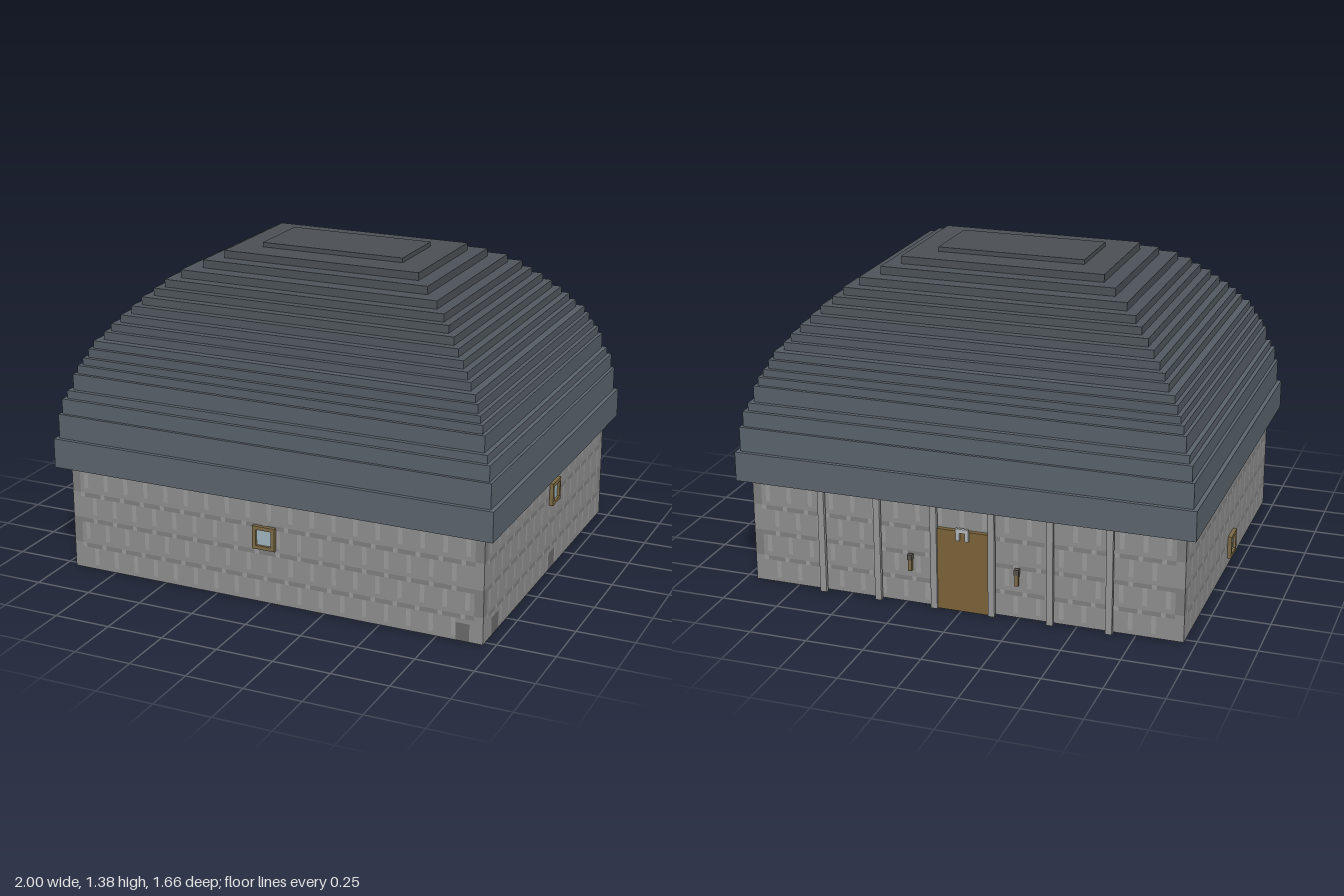
import * as THREE from 'three';
import { mergeGeometries } from 'three/addons/utils/BufferGeometryUtils.js';

const mat = (color) => new THREE.MeshStandardMaterial({ color, flatShading: true });
const M = {
  stone: mat(0x8e8e8e), course: mat(0x7e7e7e), joint: mat(0x9a9a9a), dark: mat(0x6a6a6a),
  frame: mat(0x7d6a45), glass: mat(0x9fb4bd), door: mat(0x7a6238), post: mat(0x969696),
  iron: mat(0x55524c), pale: mat(0xb4b8ba),
};
const X = 0.95, Z = 0.775, H = 0.47;

function box(name, material, w, h, d, x, y, z) {
  const m = new THREE.Mesh(new THREE.BoxGeometry(w, h, d), material);
  m.name = name;
  m.position.set(x, y, z);
  return m;
}

// A flat wall of small cells, sorted by stone tone; patches are dark stones at the base
function stoneWall(name, width, patches = []) {
  const nx = Math.round(width / 0.0195), ny = 24;
  const cw = width / nx, ch = H / ny;
  const cells = { stone: [], course: [], joint: [], dark: [] };
  for (let r = 0; r < ny; r++) {
    for (let c = 0; c < nx; c++) {
      const x = (c + 0.5) * cw - width / 2, y = (r + 0.5) * ch;
      const row = Math.floor(r / 6), k = r % 6;
      const j = (c + (row % 2) * 2) % 5;
      const corner = Math.min(c, nx - 1 - c) < 2;
      let tone = 'stone';
      if (r < 3.5 && patches.some((p) => Math.abs(x - p) < 0.035)) tone = 'dark';
      else if (corner) tone = row % 2 ? 'course' : 'stone';
      else if (k === 5) tone = j === 2 ? 'joint' : 'course';
      else if (j === 0 && k > 0) tone = 'joint';
      cells[tone].push(new THREE.PlaneGeometry(cw, ch).translate(x, y, 0));
    }
  }
  const g = new THREE.Group();
  g.name = name;
  for (const tone in cells) {
    if (!cells[tone].length) continue;
    const m = new THREE.Mesh(mergeGeometries(cells[tone]), M[tone]);
    m.name = name + ' ' + tone;
    g.add(m);
  }
  return g;
}

// Small square window, facing +z, with a recessed pane
function windowUnit(name) {
  const g = new THREE.Group();
  g.name = name;
  const s = 0.102, t = 0.016, d = 0.017;
  for (const k of [-1, 1]) {
    g.add(box('window rail', M.frame, s, t, d, 0, k * (s - t) / 2, d / 2));
    g.add(box('window stile', M.frame, t, s - 2 * t, d, k * (s - t) / 2, 0, d / 2));
  }
  g.add(box('window pane', M.glass, s - 2 * t, s - 2 * t, 0.006, 0, 0, 0.003));
  return g;
}

export function createModel() {
  const house = new THREE.Group();
  house.name = 'domed roof stone house';
  const place = (o, x, y, z, turn = 0) => {
    o.position.set(x, y, z);
    o.rotation.y = turn;
    house.add(o);
  };

  // Walls and floor
  place(stoneWall('front wall', 2 * X, [0.86]), 0, 0, Z);
  place(stoneWall('back wall', 2 * X), 0, 0, -Z, Math.PI);
  place(stoneWall('left wall', 2 * Z, [-0.64, 0.065]), X, 0, 0, Math.PI / 2);
  place(stoneWall('right wall', 2 * Z), -X, 0, 0, -Math.PI / 2);
  const floor = new THREE.Mesh(new THREE.PlaneGeometry(2 * X, 2 * Z).rotateX(Math.PI / 2), M.stone);
  floor.name = 'floor';
  house.add(floor);

  // Windows
  place(windowUnit('front window'), -0.02, 0.295, Z);
  place(windowUnit('left window'), X, 0.36, -0.067, Math.PI / 2);
  place(windowUnit('right window'), -X, 0.088, 0.055, -Math.PI / 2);

  // Stepped roof: [half depth, top height] of each tier, inset equally on all sides
  const tiers = [
    [0.828, 0.6], [0.81, 0.708], [0.797, 0.775], [0.78, 0.81], [0.76, 0.88], [0.745, 0.916],
    [0.728, 0.947], [0.71, 0.985], [0.693, 1.018], [0.66, 1.053], [0.637, 1.086], [0.607, 1.12],
    [0.573, 1.155], [0.54, 1.19], [0.502, 1.223], [0.467, 1.257], [0.416, 1.292],
    [0.346, 1.327], [0.278, 1.36], [0.155, 1.38],
  ];
  const roof = new THREE.Group();
  roof.name = 'roof';
  const low = new THREE.Color(0x5b646d), high = new THREE.Color(0x4a4f54);
  let y0 = H;
  tiers.forEach(([d, y1], i) => {
    const color = low.clone().lerp(high, i / (tiers.length - 1));
    roof.add(box('roof tier', mat(color), 2 * (d + 0.172), y1 - y0, 2 * d, 0, (y0 + y1) / 2, 0));
    y0 = y1;
  });
  house.add(roof);

  // Free-standing posts along the back, with the door between the middle pair
  const mid = -0.01;
  for (let i = 0; i < 6; i++) {
    house.add(box('post', M.post, 0.028, H, 0.017, mid + (i - 2.5) * 0.253, H / 2, -0.797));
  }
  house.add(box('door', M.door, 0.225, 0.362, 0.02, mid, 0.181, -Z - 0.01));

  // Arched bracket at the top of the door
  const bracket = new THREE.Group();
  bracket.name = 'door bracket';
  bracket.add(box('bracket top', M.pale, 0.056, 0.018, 0.012, 0, 0.022, 0));
  for (const k of [-1, 1]) bracket.add(box('bracket leg', M.pale, 0.016, 0.036, 0.012, k * 0.02, -0.005, 0));
  place(bracket, mid, 0.345, -0.799);

  // Wall torches either side of the door
  for (const k of [-1, 1]) {
    const torch = new THREE.Group();
    torch.name = 'torch';
    torch.add(box('torch handle', M.frame, 0.016, 0.05, 0.016, 0, -0.012, 0));
    torch.add(box('torch head', M.iron, 0.02, 0.024, 0.02, 0, 0.025, 0));
    torch.add(box('torch bracket', M.iron, 0.01, 0.01, 0.02, 0, 0, 0.01));
    place(torch, mid + k * 0.235, 0.19, -0.793);
  }
  return house;
}
